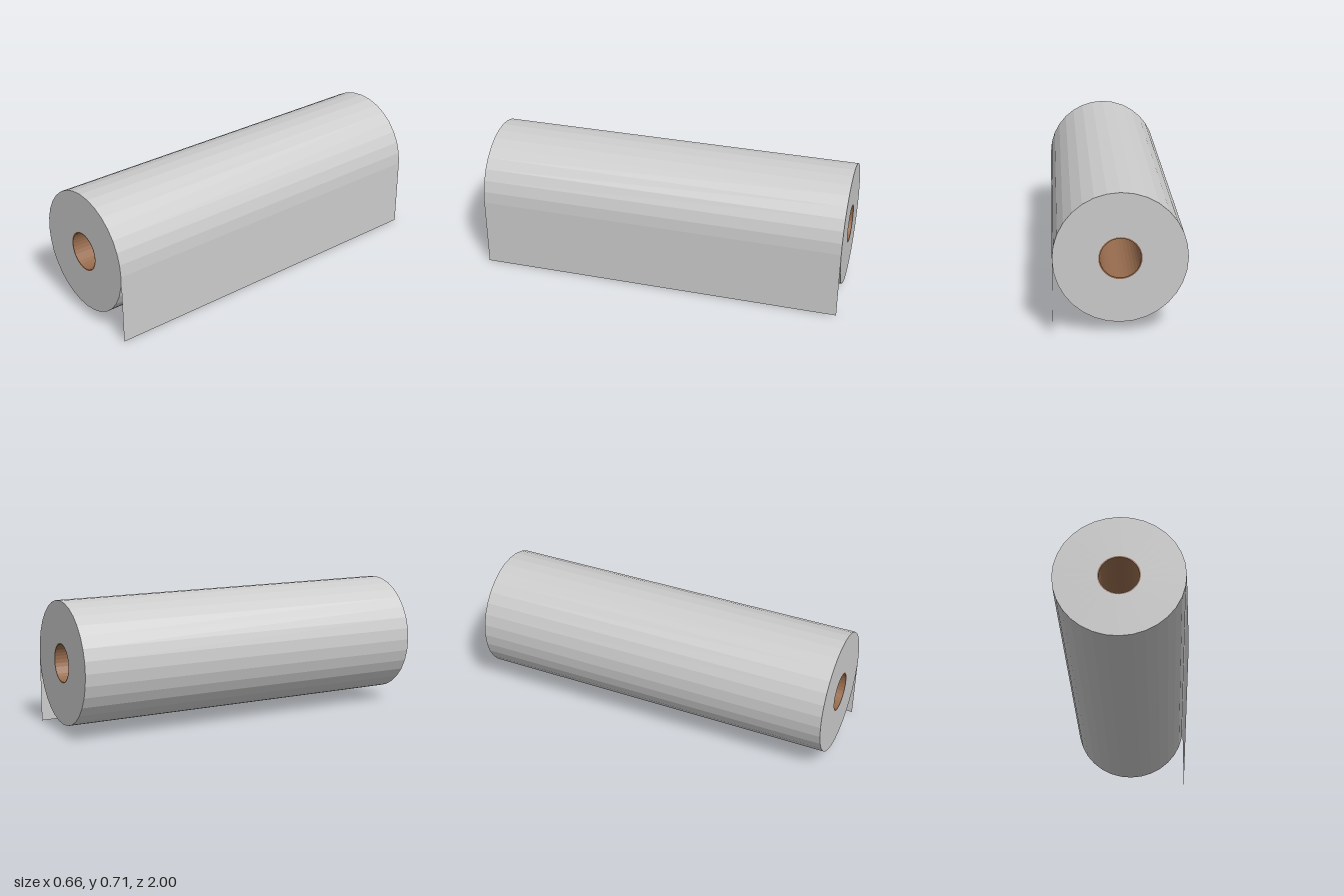
import * as THREE from 'three';

const AXIS_Y = 0.383, RADIUS = 0.33, CORE_OUTER = 0.107, CORE_INNER = 0.1;
const HALF_LENGTH = 1, SIDES = 32;

// Hollow faceted cylinder lying along z
function tube(name, inner, outer, material) {
  const profile = [
    [inner, -HALF_LENGTH], [outer, -HALF_LENGTH],
    [outer, HALF_LENGTH], [inner, HALF_LENGTH], [inner, -HALF_LENGTH],
  ].map(([r, y]) => new THREE.Vector2(r, y));
  const geometry = new THREE.LatheGeometry(profile, SIDES);
  geometry.rotateX(Math.PI / 2);
  const mesh = new THREE.Mesh(geometry, material);
  mesh.name = name;
  mesh.position.y = AXIS_Y;
  return mesh;
}

export function createModel() {
  const group = new THREE.Group();
  group.name = 'paperRoll';

  const paper = new THREE.MeshStandardMaterial({ color: 0xcccccc, flatShading: true });
  const card = new THREE.MeshStandardMaterial({ color: 0x966b4d, flatShading: true });
  const sheetPaper = new THREE.MeshStandardMaterial({ color: 0xcccccc, side: THREE.DoubleSide });

  // Wound paper and cardboard core
  group.add(tube('woundPaper', CORE_OUTER, RADIUS, paper));
  group.add(tube('cardboardCore', CORE_INNER, CORE_OUTER, card));

  // Loose end hanging straight down from the side of the roll
  const sheet = new THREE.Mesh(new THREE.PlaneGeometry(2 * HALF_LENGTH, AXIS_Y), sheetPaper);
  sheet.name = 'hangingSheet';
  sheet.rotation.y = Math.PI / 2;
  sheet.position.set(RADIUS, AXIS_Y / 2, 0);
  group.add(sheet);

  return group;
}
